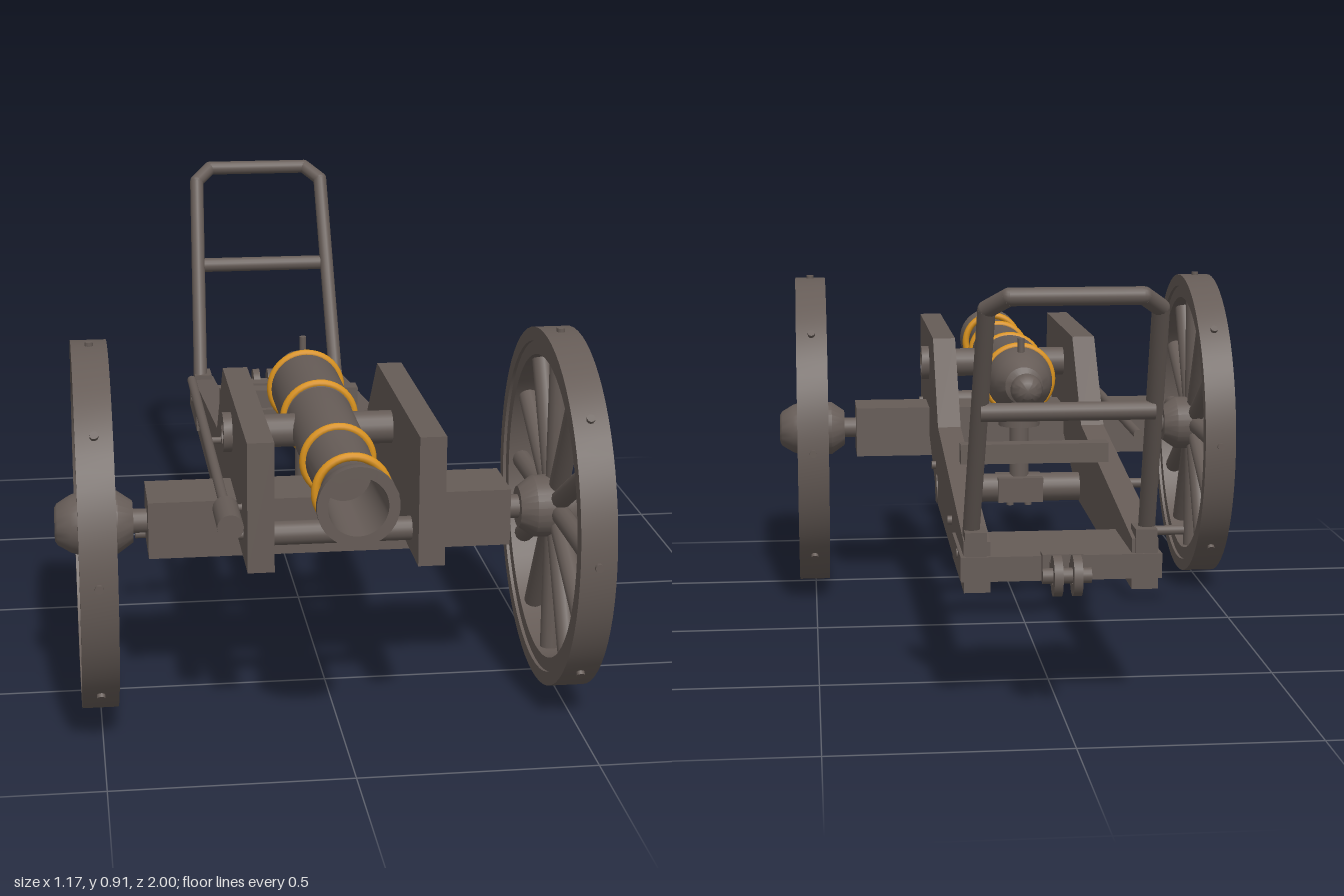
import * as THREE from 'three';
import { toCreasedNormals } from 'three/addons/utils/BufferGeometryUtils.js';

export function createModel() {
  const model = new THREE.Group();
  const iron = new THREE.MeshStandardMaterial({ color: 0x665c57 });
  iron.name = 'dark weathered wood and iron';
  const brass = new THREE.MeshStandardMaterial({ color: 0xd9921c });
  brass.name = 'brass';

  const add = (name, geo, x = 0, y = 0, z = 0, parent = model, mat = iron) => {
    const m = new THREE.Mesh(geo, mat);
    m.name = name;
    m.position.set(x, y, z);
    parent.add(m);
    return m;
  };
  const box = (name, w, h, d, x, y, z, parent) => add(name, new THREE.BoxGeometry(w, h, d), x, y, z, parent);
  const lathe = (pts, seg = 32) =>
    toCreasedNormals(new THREE.LatheGeometry(pts.map(p => new THREE.Vector2(...p)), seg), 0.6);
  // Cylinder between two points
  const rod = (name, a, b, r, parent = model, seg = 16) => {
    const p = new THREE.Vector3(...a), q = new THREE.Vector3(...b);
    const m = add(name, new THREE.CylinderGeometry(r, r, p.distanceTo(q), seg), 0, 0, 0, parent);
    m.position.copy(p).add(q).multiplyScalar(0.5);
    m.quaternion.setFromUnitVectors(new THREE.Vector3(0, 1, 0), q.sub(p).normalize());
    return m;
  };
  // Closed ring of rectangular section about the y axis
  const ring = (ri, ro, w, seg) =>
    lathe([[ri, -w / 2], [ro, -w / 2], [ro, w / 2], [ri, w / 2], [ri, -w / 2]], seg);

  // Barrel, from the knob at the breech to the bore
  const axisY = 0.578;
  const barrel = new THREE.Group();
  barrel.name = 'barrel';
  barrel.position.y = axisY;
  barrel.rotation.x = Math.PI / 2;
  model.add(barrel);
  add('barrelBody', lathe([
    [0, -0.075], [0.02, -0.07], [0.034, -0.055], [0.038, -0.038], [0.033, -0.02], [0.021, -0.003],
    [0.024, 0.01], [0.045, 0.02], [0.065, 0.055], [0.077, 0.1], [0.08, 0.135], [0.08, 0.39],
    [0.073, 0.4], [0.071, 0.69], [0.068, 0.71], [0.064, 0.9], [0.064, 0.925], [0.078, 0.965],
    [0.082, 0.985], [0.082, 1], [0.06, 1], [0.055, 0.8], [0, 0.8]
  ], 40), 0, 0, 0, barrel);
  [[0.145, 0.081], [0.39, 0.078], [0.7, 0.072], [0.905, 0.073]].forEach(([z, r]) => {
    const band = add('barrelBand', new THREE.TorusGeometry(r, 0.009, 10, 40), 0, z, 0, barrel, brass);
    band.rotation.x = Math.PI / 2;
  });
  rod('vent', [0, 0.64, 0.09], [0, 0.685, 0.09], 0.008);

  // Side boards of the carriage and the long trail
  const board = new THREE.Shape([
    [0.84, 0.39], [0.84, 0.665], [0.27, 0.665], [0.09, 0.47], [-0.74, 0.365],
    [-0.74, 0.258], [0.14, 0.275], [0.44, 0.39]
  ].map(p => new THREE.Vector2(...p)));
  const boardGeo = new THREE.ExtrudeGeometry(board, { depth: 0.055, bevelEnabled: false });
  for (const s of [1, -1]) {
    const b = add('sideBoard', boardGeo, s > 0 ? 0.202 : -0.147, 0, 0);
    b.rotation.y = -Math.PI / 2;
    // Trunnion stub with hollow end cap
    rod('trunnion', [0, axisY, 0.475], [s * 0.205, axisY, 0.475], 0.036);
    const cap = add('trunnionRing', ring(0.026, 0.043, 0.03, 24), s * 0.206, axisY, 0.475);
    cap.rotation.z = Math.PI / 2;
    for (const [y, z] of [[0.34, -0.39], [0.325, -0.66], [0.36, 0.19], [0.44, 0.67], [0.44, 0.745]])
      rod('boardBolt', [s * 0.19, y, z], [s * 0.212, y, z], 0.01, model, 10);
    box('handleLug', 0.045, 0.05, 0.07, s * 0.177, 0.36, -0.71);
  }

  // Cross pieces
  box('axleBeam', 0.78, 0.125, 0.15, 0, 0.402, 0.523);
  rod('axle', [-0.56, 0.403, 0.53], [0.56, 0.403, 0.53], 0.026);
  rod('frontCrossbar', [-0.2, 0.44, 0.745], [0.2, 0.44, 0.745], 0.025);
  box('trailCrossbar', 0.34, 0.045, 0.045, 0, 0.457, -0.205);
  box('tailPlate', 0.418, 0.052, 0.25, 0, 0.309, -0.625);

  // Elevating gear and crank
  rod('gearShaft', [-0.2, 0.31, 0.14], [0.205, 0.31, 0.14], 0.035, model, 20);
  box('gearBlock', 0.11, 0.06, 0.09, 0, 0.31, 0.14);
  rod('elevatingScrew', [0, 0.3, 0.14], [0, 0.52, 0.14], 0.024);
  rod('elevatingHead', [0, 0.465, 0.14], [0, 0.51, 0.14], 0.05);
  for (const x of [-0.022, 0.022]) rod('gearBolt', [x, 0.266, 0.14], [x, 0.29, 0.14], 0.009, model, 10);
  rod('crankCollar', [-0.242, 0.306, 0.14], [-0.2, 0.306, 0.14], 0.034, model, 8);
  rod('crankShaft', [-0.32, 0.315, 0.14], [-0.24, 0.315, 0.14], 0.012);
  const arm = box('crankArm', 0.018, 0.155, 0.024, -0.315, 0.265, 0.103);
  arm.rotation.x = 0.58;
  rod('crankGrip', [-0.398, 0.209, 0.068], [-0.306, 0.209, 0.068], 0.012);

  // Rammer carried along the right side
  rod('rammerShaft', [-0.238, 0.498, -0.232], [-0.238, 0.498, 0.8], 0.011);
  rod('rammerHead', [-0.238, 0.498, 0.745], [-0.238, 0.498, 0.866], 0.027);
  for (const z of [0.25, 0.72]) rod('rammerHook', [-0.238, 0.49, z], [-0.19, 0.49, z], 0.008, model, 8);

  // Lifting handle
  const path = [[-0.184, 0.36, -0.69], [-0.17, 0.865, -0.935], [-0.13, 0.893, -0.977],
    [0.13, 0.893, -0.977], [0.17, 0.865, -0.935], [0.184, 0.36, -0.69]];
  for (let i = 0; i < path.length - 1; i++) {
    rod('handleTube', path[i], path[i + 1], 0.018);
    if (i) add('handleElbow', new THREE.SphereGeometry(0.018, 14, 10), ...path[i]);
  }
  rod('handleCrossbar', [-0.175, 0.65, -0.845], [0.175, 0.65, -0.845], 0.019);

  // Towing eyes on the tail
  box('towBase', 0.085, 0.06, 0.04, 0, 0.312, -0.75);
  for (const x of [-0.02, 0.02]) {
    box('towArm', 0.016, 0.03, 0.06, x, 0.312, -0.785);
    add('towEye', ring(0.018, 0.042, 0.018, 24), x, 0.312, -0.832).rotation.z = Math.PI / 2;
  }
  rod('towPin', [-0.05, 0.312, -0.832], [0.05, 0.312, -0.832], 0.016);

  // Spoked wheels
  for (const s of [1, -1]) {
    const wheel = new THREE.Group();
    wheel.name = s > 0 ? 'leftWheel' : 'rightWheel';
    wheel.position.set(s * 0.503, 0.402, 0.53);
    wheel.rotation.z = -s * Math.PI / 2;
    model.add(wheel);
    add('tyre', ring(0.362, 0.392, 0.076, 64), 0, 0, 0, wheel);
    add('rim', ring(0.332, 0.366, 0.062, 64), 0, 0, 0, wheel);
    add('hub', lathe([[0, -0.083], [0.045, -0.083], [0.068, -0.05], [0.07, 0.025],
      [0.062, 0.05], [0.045, 0.078], [0.035, 0.084], [0, 0.084]], 28), 0, 0, 0, wheel);
    for (let i = 0; i < 12; i++) {
      const a = i * Math.PI / 6, c = Math.cos(a), d = Math.sin(a);
      rod('spoke', [c * 0.05, 0, d * 0.05], [c * 0.345, 0, d * 0.345], 0.022, wheel, 12);
    }
    for (let i = 0; i < 8; i++) {
      const a = i * Math.PI / 4, c = Math.cos(a), d = Math.sin(a);
      rod('rimBolt', [c * 0.38, 0, d * 0.38], [c * 0.4, 0, d * 0.4], 0.009, wheel, 10);
    }
  }
  return model;
}
